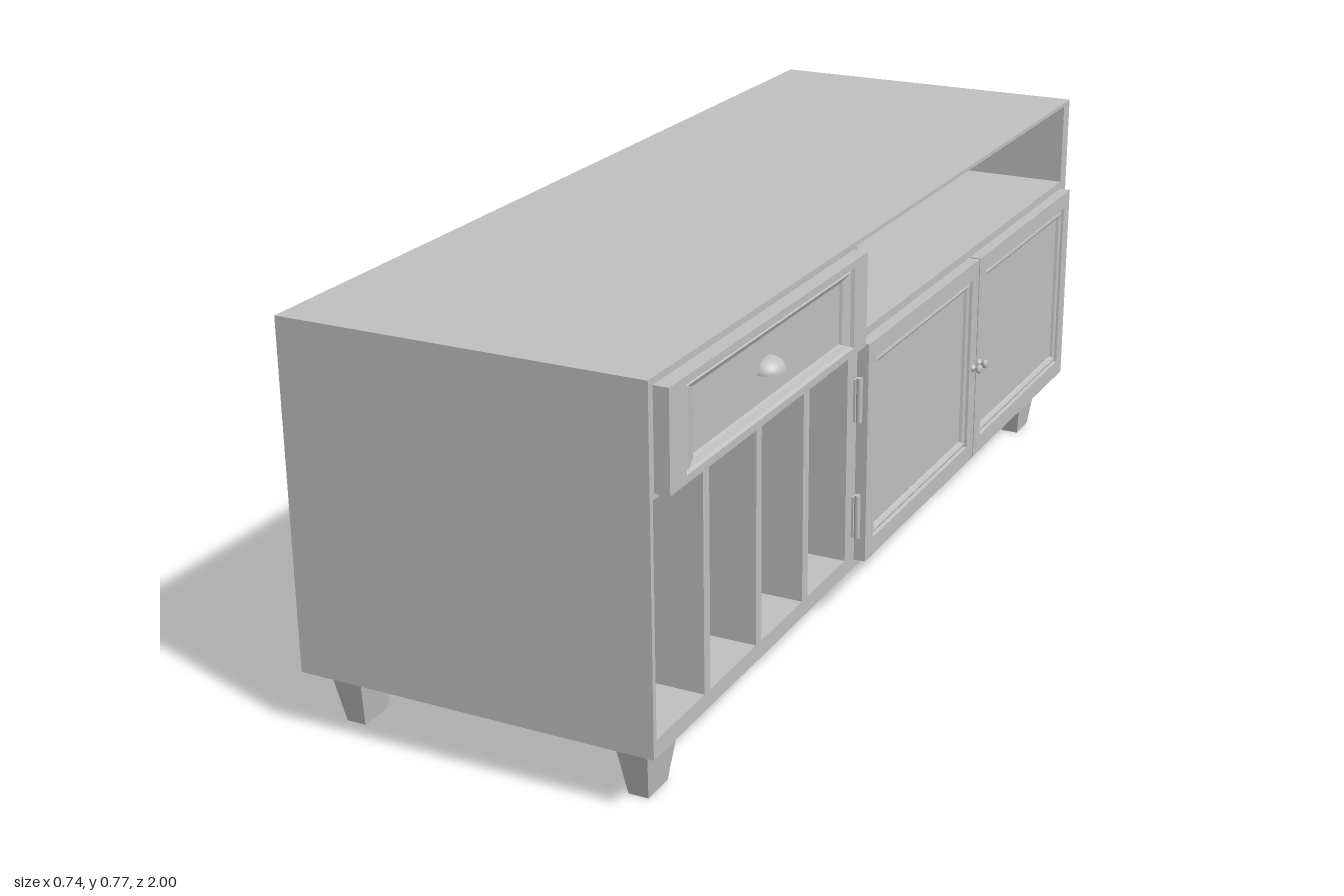
import * as THREE from 'three';

const BACK = -0.37, FRONT = 0.322, BOTTOM = 0.115, TOP = 0.768;

// Panel facing +x, lofted through nested rectangles: profile rows are [inset z, inset y, x]
function panelGeometry(z0, z1, y0, y1, profile) {
  const loops = profile.map(([iz, iy, x]) => [
    [x, y0 + iy, z1 - iz], [x, y0 + iy, z0 + iz],
    [x, y1 - iy, z0 + iz], [x, y1 - iy, z1 - iz],
  ]);
  const pos = [];
  const quad = (a, b, c, d) => pos.push(...a, ...b, ...c, ...a, ...c, ...d);
  for (let k = 0; k + 1 < loops.length; k++) {
    for (let i = 0; i < 4; i++) {
      const j = (i + 1) % 4;
      quad(loops[k][i], loops[k][j], loops[k + 1][j], loops[k + 1][i]);
    }
  }
  quad(...loops[loops.length - 1]);
  const [a, b, c, d] = loops[0];
  quad(d, c, b, a);
  const geo = new THREE.BufferGeometry();
  geo.setAttribute('position', new THREE.Float32BufferAttribute(pos, 3));
  geo.computeVertexNormals();
  return geo;
}

// Rectangle outline in the (-z, y) plane
function rect(path, z0, z1, y0, y1) {
  path.moveTo(-z1, y0);
  path.lineTo(-z0, y0);
  path.lineTo(-z0, y1);
  path.lineTo(-z1, y1);
  path.closePath();
  return path;
}

export function createModel() {
  const model = new THREE.Group();
  model.name = 'mediaCabinet';
  const grey = new THREE.MeshStandardMaterial({ color: 0xc0c0c0 });
  grey.name = 'grey';
  const greyOpen = grey.clone();
  greyOpen.name = 'grey open shell';
  greyOpen.side = THREE.DoubleSide;

  const add = (name, geo, x = 0, y = 0, z = 0, parent = model, mat = grey) => {
    const mesh = new THREE.Mesh(geo, mat);
    mesh.name = name;
    mesh.position.set(x, y, z);
    parent.add(mesh);
    return mesh;
  };

  // Carcass with the open shelf and four upright slots
  const backThick = 0.015;
  const outline = rect(new THREE.Shape(), -1, 1, BOTTOM, TOP);
  const openings = [
    [-0.963, 0.203, 0.586, 0.760],
    [0.820, 0.990, 0.147, 0.567], [0.622, 0.798, 0.147, 0.567],
    [0.430, 0.601, 0.147, 0.567], [0.237, 0.406, 0.147, 0.567],
  ];
  for (const o of openings) outline.holes.push(rect(new THREE.Path(), ...o));
  const carcass = new THREE.ExtrudeGeometry(outline, {
    depth: FRONT - BACK - backThick, bevelEnabled: false,
  });
  carcass.rotateY(Math.PI / 2);
  add('carcass', carcass, BACK + backThick);
  add('backPanel', new THREE.BoxGeometry(backThick, TOP - BOTTOM, 2),
    BACK + backThick / 2, (TOP + BOTTOM) / 2, 0);

  // Tapered legs
  const leg = new THREE.BoxGeometry(0.064, BOTTOM, 0.12);
  const p = leg.attributes.position;
  for (let i = 0; i < p.count; i++) {
    if (p.getY(i) < 0) p.setXYZ(i, p.getX(i) * 0.59, p.getY(i), p.getZ(i) * 0.57);
  }
  leg.computeVertexNormals();
  for (const x of [-0.307, 0.258]) {
    for (const z of [-0.904, 0.904]) add('leg', leg, x, BOTTOM / 2, z);
  }

  // Doors: frame, rounded bead and recessed panel
  const doorProfile = [
    [0, 0, FRONT], [0, 0, 0.345], [0.036, 0.036, 0.345], [0.038, 0.038, 0.336],
    [0.041, 0.041, 0.341], [0.046, 0.046, 0.342], [0.051, 0.051, 0.339], [0.053, 0.053, 0.333],
  ];
  const knobProfile = [[0.008, 0], [0.008, 0.003], [0.004, 0.005], [0.004, 0.009],
    [0.009, 0.012], [0.010, 0.016], [0.007, 0.019], [0, 0.020]]
    .map(([r, h]) => new THREE.Vector2(r, h));
  const knob = new THREE.LatheGeometry(knobProfile, 20);
  knob.rotateZ(-Math.PI / 2);
  const barrel = new THREE.CylinderGeometry(0.006, 0.006, 0.088, 12);
  const leaf = new THREE.BoxGeometry(0.004, 0.084, 0.016);
  const doors = [
    { z0: -0.382, z1: 0.194, knobZ: -0.364, hingeZ: 0.202 },
    { z0: -0.963, z1: -0.387, knobZ: -0.400, hingeZ: -0.970 },
  ];
  for (const d of doors) {
    const door = new THREE.Group();
    door.name = 'door';
    model.add(door);
    add('doorPanel', panelGeometry(d.z0, d.z1, 0.132, 0.570, doorProfile), 0, 0, 0, door);
    add('doorKnob', knob, 0.345, 0.339, d.knobZ, door);
    for (const y of [0.461, 0.226]) {
      add('hingeBarrel', barrel, 0.331, y, d.hingeZ, door);
      add('hingeLeaf', leaf, FRONT + 0.002, y, d.hingeZ, door);
    }
  }

  // Drawer front with moulded recess
  const drawerProfile = [
    [0, 0, FRONT], [0, 0, 0.350], [0.057, 0.014, 0.350], [0.060, 0.017, 0.343],
    [0.068, 0.020, 0.347], [0.093, 0.030, 0.342], [0.095, 0.032, 0.337],
  ];
  add('drawerFront', panelGeometry(0.220, 0.985, 0.577, 0.756, drawerProfile));

  // Cup pull: a quarter shell open at the bottom
  const cup = new THREE.SphereGeometry(1, 20, 10, Math.PI / 2, Math.PI, 0, Math.PI / 2);
  cup.scale(0.033, 0.025, 0.035);
  add('drawerPull', cup, 0.337, 0.660, 0.614, model, greyOpen);

  return model;
}
